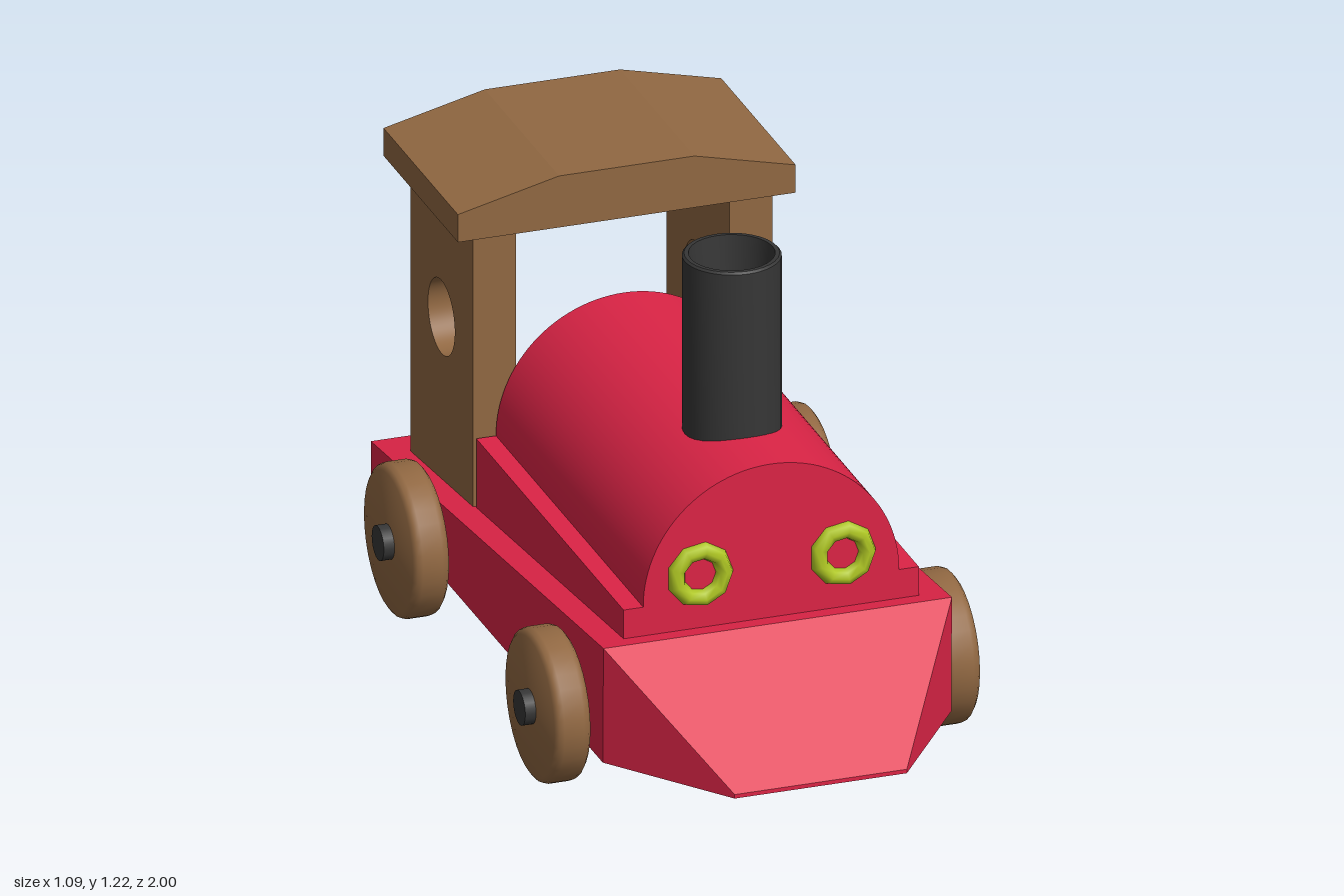
import * as THREE from 'three';
import { toCreasedNormals } from 'three/addons/utils/BufferGeometryUtils.js';
import { ConvexGeometry } from 'three/addons/geometries/ConvexGeometry.js';

const material = (name, color) => {
  const m = new THREE.MeshStandardMaterial({ color });
  m.name = name;
  return m;
};

export function createModel() {
  const red = material('red paint', 0xdc2446);
  const wood = material('brown wood', 0x916842);
  const black = material('black', 0x363636);
  const lime = material('lime', 0xb0c824);
  const teal = material('teal', 0x26cc9a);

  const train = new THREE.Group();
  train.name = 'toyTrain';

  const add = (name, geometry, mat, x = 0, y = 0, z = 0, parent = train) => {
    const mesh = new THREE.Mesh(geometry, mat);
    mesh.name = name;
    mesh.position.set(x, y, z);
    parent.add(mesh);
    return mesh;
  };
  const extrude = (shape, depth) => toCreasedNormals(
    new THREE.ExtrudeGeometry(shape, { depth, bevelEnabled: false, curveSegments: 28 }), 0.5);
  const polygon = (pts) => new THREE.Shape(pts.map(([x, y]) => new THREE.Vector2(x, y)));

  // Wedge-shaped chassis with a sloping, tapered nose: [half width, y, z]
  const corners = [];
  for (const [x, y, z] of [
    [0.425, 0.125, -0.89], [0.425, 0.26, -0.89], [0.425, 0.42, 0.705],
    [0.425, 0.13, 0.7], [0.21, 0.135, 1], [0.21, 0.145, 1],
  ]) corners.push(new THREE.Vector3(x, y, z), new THREE.Vector3(-x, y, z));
  add('chassis', new ConvexGeometry(corners), red);

  // Boiler: half-round barrel on a wider ledge
  const boiler = polygon([[-0.36, 0.27], [0.36, 0.27], [0.36, 0.488], [0.312, 0.488]]);
  boiler.absarc(0, 0.49, 0.312, 0, Math.PI, false);
  boiler.lineTo(-0.312, 0.488);
  boiler.lineTo(-0.36, 0.488);
  add('boiler', extrude(boiler, 1.01), red, 0, 0, -0.35);

  // Hollow chimney, narrowing inside towards the bottom
  const stack = [[0.115, 0.74], [0.115, 1.215], [0.11, 1.22], [0.1, 1.22], [0.06, 0.78]]
    .map(([r, y]) => new THREE.Vector2(r, y));
  add('chimney', toCreasedNormals(new THREE.LatheGeometry(stack, 32), 0.6), black, 0, 0, 0.39);

  // Ring headlamps
  for (const side of [-1, 1]) {
    add('headlamp', new THREE.TorusGeometry(0.06, 0.021, 8, 9), lime, side * 0.174, 0.55, 0.66);
  }

  // Cab walls with round windows; shape x runs towards the back
  for (const side of [-1, 1]) {
    const wall = polygon([[0.358, 0.2], [0.788, 0.2], [0.788, 1.01], [0.358, 1.01]]);
    const hole = new THREE.Path();
    hole.absarc(0.575, 0.7, 0.092, 0, Math.PI * 2, true);
    wall.holes.push(hole);
    const mesh = add('cabWall', extrude(wall, 0.105), wood, side > 0 ? 0.26 : -0.365);
    mesh.rotation.y = Math.PI / 2;
  }

  // Cab roof
  const roof = polygon([[-0.412, 1], [0.412, 1], [0.412, 1.07], [0.165, 1.13], [-0.165, 1.13], [-0.412, 1.07]]);
  add('cabRoof', new THREE.ExtrudeGeometry(roof, { depth: 0.51, bevelEnabled: false }), wood, 0, 0, -0.84);

  // Axles and wheels with softened rims
  const rim = [[0, -0.044], [0.168, -0.044], [0.179, -0.036], [0.183, -0.024],
    [0.183, 0.024], [0.179, 0.036], [0.168, 0.044], [0, 0.044]].map(([r, y]) => new THREE.Vector2(r, y));
  const wheelGeometry = toCreasedNormals(new THREE.LatheGeometry(rim, 32), 0.7);
  const axleGeometry = new THREE.CylinderGeometry(0.042, 0.042, 1.09, 20);
  for (const z of [0.465, -0.505]) {
    const wheelset = new THREE.Group();
    wheelset.name = 'wheelset';
    wheelset.position.set(0, 0.186, z);
    wheelset.rotation.z = Math.PI / 2;
    train.add(wheelset);
    add('axle', axleGeometry, black, 0, 0, 0, wheelset);
    for (const side of [-1, 1]) add('wheel', wheelGeometry, wood, 0, side * 0.475, 0, wheelset);
  }

  // Rear coupling hook: flared foot, bent stem, round tip
  const hook = new THREE.Group();
  hook.name = 'couplingHook';
  train.add(hook);
  const foot = add('hookFoot', new THREE.CylinderGeometry(0.033, 0.058, 0.05, 16), teal, 0, 0.198, -0.91, hook);
  foot.rotation.x = -Math.PI / 2;
  const path = new THREE.CatmullRomCurve3([[0.195, -0.88], [0.195, -0.925], [0.225, -0.958], [0.268, -0.967]]
    .map(([y, z]) => new THREE.Vector3(0, y, z)));
  add('hookStem', new THREE.TubeGeometry(path, 16, 0.034, 12), teal, 0, 0, 0, hook);
  add('hookTip', new THREE.SphereGeometry(0.034, 14, 10), teal, 0, 0.268, -0.967, hook);

  return train;
}
